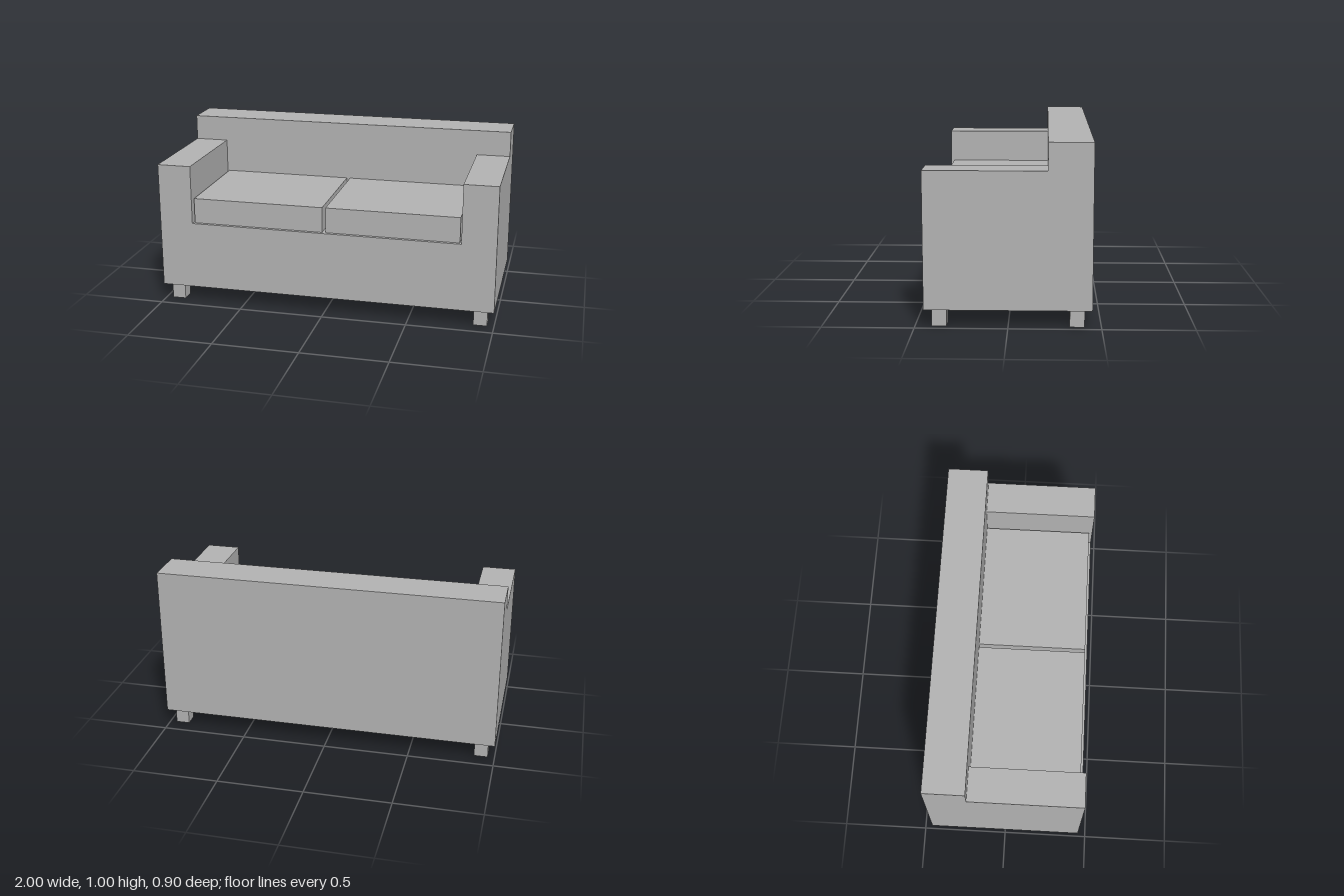
import * as THREE from 'three';

export function createModel() {
  const sofa = new THREE.Group();
  sofa.name = 'sofa';

  const grey = new THREE.MeshStandardMaterial({ color: 0xb3b3b3 });
  grey.name = 'grey';

  // Box given by its extents along each axis
  function box(name, [x0, x1], [y0, y1], [z0, z1]) {
    const mesh = new THREE.Mesh(new THREE.BoxGeometry(x1 - x0, y1 - y0, z1 - z0), grey);
    mesh.position.set((x0 + x1) / 2, (y0 + y1) / 2, (z0 + z1) / 2);
    mesh.name = name;
    sofa.add(mesh);
  }

  // Seat base between the arms, and full-width backrest
  box('seatBase', [-0.8, 0.8], [0.1, 0.5], [-0.21, 0.45]);
  box('backrest', [-1, 1], [0.1, 1], [-0.45, -0.21]);

  // Arms, cushions and legs, mirrored left and right
  for (const [side, s] of [['left', 1], ['right', -1]]) {
    const span = (a, b) => (s > 0 ? [a, b] : [-b, -a]);
    box(side + 'Arm', span(0.8, 1), [0.1, 0.85], [-0.21, 0.45]);
    box(side + 'Cushion', span(0.01, 0.79), [0.5, 0.65], [-0.21, 0.43]);
    box(side + 'FrontLeg', span(0.88, 0.96), [0, 0.1], [0.33, 0.41]);
    box(side + 'BackLeg', span(0.88, 0.96), [0, 0.1], [-0.41, -0.33]);
  }

  return sofa;
}
